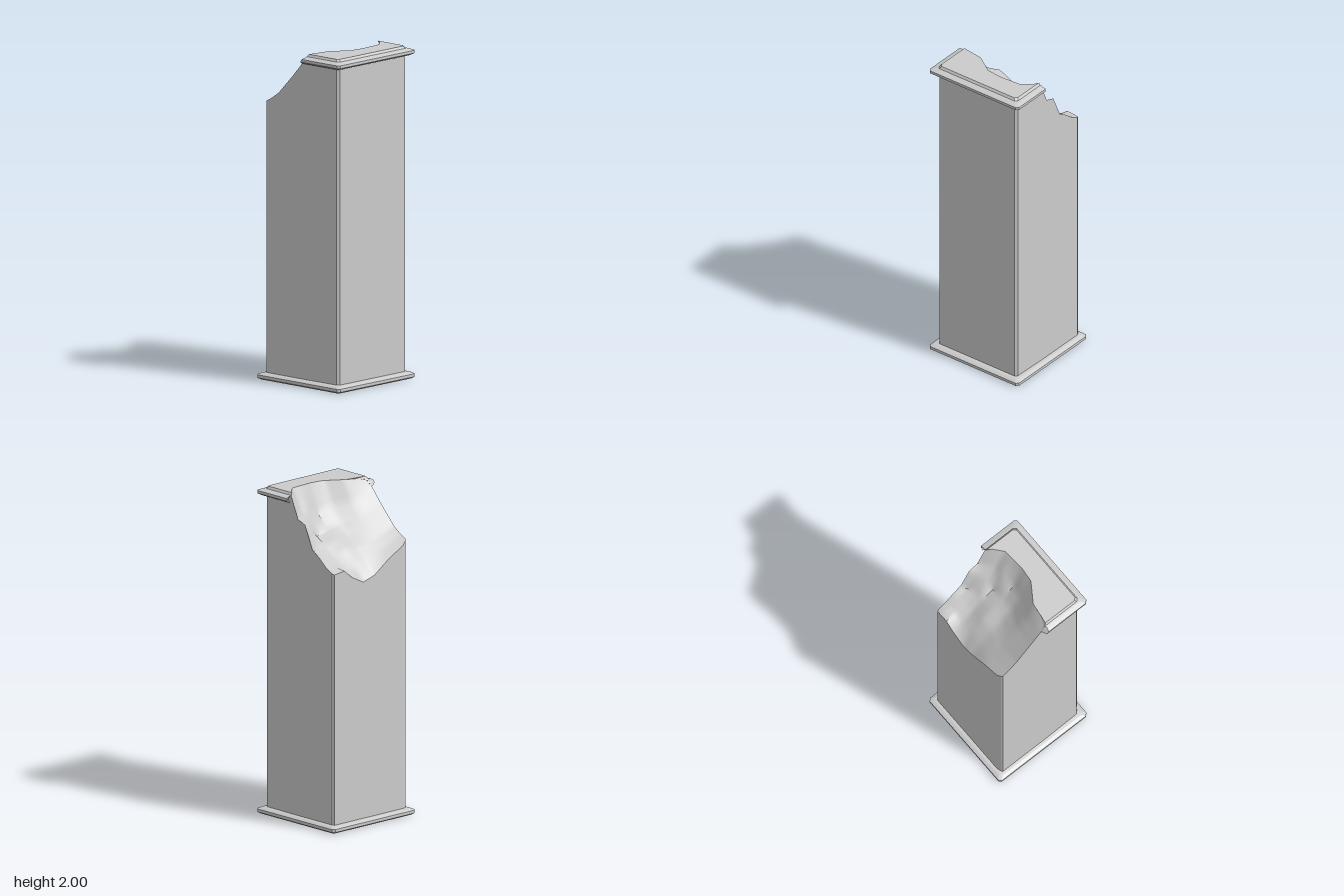
import * as THREE from 'three';
import { toCreasedNormals } from 'three/addons/utils/BufferGeometryUtils.js';

const material = new THREE.MeshStandardMaterial({ color: 0xcccccc, side: THREE.DoubleSide });

// Fracture rows: z, x where the fracture meets the top, heights from the left side to that x
const ROWS = [
  [0.3, 0.05, [1.67, 1.70, 1.74, 1.80, 1.86, 1.925, 1.985]],
  [0.15, 0.07, [1.59, 1.63, 1.68, 1.74, 1.80, 1.88, 2]],
  [0.03, 0.15, [1.51, 1.59, 1.66, 1.71, 1.77, 1.86, 2]],
  [-0.06, 0.16, [1.485, 1.58, 1.66, 1.71, 1.75, 1.82, 2]],
  [-0.15, 0.155, [1.53, 1.57, 1.62, 1.68, 1.72, 1.88, 2]],
  [-0.21, 0.15, [1.58, 1.59, 1.63, 1.68, 1.79, 1.87, 2]],
  [-0.27, 0.1, [1.575, 1.6, 1.64, 1.67, 1.8, 1.86, 2]],
  [-0.3, 0.07, [1.57, 1.60, 1.65, 1.69, 1.83, 1.85, 1.985]],
];
const SUB = 4;
const HALF = 0.298;
const lerp = THREE.MathUtils.lerp;

function makeMesh(name, positions, index, crease) {
  const g = new THREE.BufferGeometry();
  g.setAttribute('position', new THREE.Float32BufferAttribute(positions.flat(), 3));
  g.setIndex(index);
  const mesh = new THREE.Mesh(toCreasedNormals(g, crease), material);
  mesh.name = name;
  return mesh;
}

// Joins closed rings, listed from bottom to top, optionally closing both ends
function loft(name, rings, closed) {
  const n = rings[0].length, index = [];
  for (let k = 0; k < rings.length - 1; k++) {
    for (let i = 0; i < n; i++) {
      const j = (i + 1) % n, a = k * n, b = a + n;
      index.push(a + i, a + j, b + j, a + i, b + j, b + i);
    }
  }
  if (closed) {
    const last = (rings.length - 1) * n;
    const face = (ring) => THREE.ShapeUtils.triangulateShape(ring.map((p) => new THREE.Vector2(p[0], -p[2])), []);
    face(rings[0]).forEach(([a, b, c]) => index.push(a, c, b));
    face(rings.at(-1)).forEach(([a, b, c]) => index.push(last + a, last + b, last + c));
  }
  return makeMesh(name, rings.flat(), index, 0.2);
}

// Right half of a square outline with cut corners, front to back
const rightSide = (r, y, c) => [[r - c, y, r], [r, y, r - c], [r, y, c - r], [r - c, y, -r]];

// Grid of points over the fracture
function fractureGrid() {
  const grid = [];
  const steps = (ROWS.length - 1) * SUB;
  for (let s = 0; s <= steps; s++) {
    const i = Math.min(Math.floor(s / SUB), ROWS.length - 2), t = s / SUB - i;
    const [z0, x0, h0] = ROWS[i], [z1, x1, h1] = ROWS[i + 1];
    const z = lerp(z0, z1, t), edge = lerp(x0, x1, t), cols = (h0.length - 1) * SUB;
    const row = [];
    for (let c = 0; c <= cols; c++) {
      const k = Math.min(Math.floor(c / SUB), h0.length - 2), u = c / SUB - k;
      const y = lerp(lerp(h0[k], h0[k + 1], u), lerp(h1[k], h1[k + 1], u), t);
      row.push([lerp(-HALF, edge, c / cols), y, THREE.MathUtils.clamp(z, -HALF, HALF)]);
    }
    grid.push(row);
  }
  // Cut the two upright corners on the broken side
  for (const row of [grid[0], grid.at(-1)]) {
    row[0][0] += 0.009;
    row[0][2] -= 0.009 * Math.sign(row[0][2]);
  }
  return grid;
}

export function createModel() {
  const model = new THREE.Group();
  const grid = fractureGrid();

  // Base slab with bevelled edges
  const slab = [[0.32, 0], [0.335, 0.01], [0.335, 0.028], [0.315, 0.038], [0.297, 0.042]];
  model.add(loft('base', slab.map(([r, y]) => {
    const right = rightSide(r, y, 0.015);
    return [...right, ...right.map(([x, , z]) => [-x, y, -z])];
  }), true));

  // Shaft walls, whose upper edge follows the fracture
  const rim = [
    ...grid[0],
    ...rightSide(0.294, 1.96, 0.013),
    ...[...grid.at(-1)].reverse(),
    ...grid.slice(1, -1).reverse().map((row) => row[0]),
  ];
  model.add(loft('shaft', [rim.map(([x, , z]) => [x, 0.03, z]), rim], false));

  // Hollow broken surface
  const w = grid[0].length, index = [];
  for (let r = 0; r < grid.length - 1; r++) {
    for (let c = 0; c < w - 1; c++) {
      const a = r * w + c, b = a + w;
      index.push(a, a + 1, b + 1, a, b + 1, b);
    }
  }
  model.add(makeMesh('brokenFace', grid.flat(), index, 0.6));

  // Remaining part of the cap: moulded on three sides, ragged on the fourth
  const ragged = [
    [0.335, 0.055, 0.015],
    ...ROWS.map(([z, x], i) => [z, x, i === 0 ? 0.01 : x + 0.03]),
    [-0.335, 0.07, 0.065],
  ].reverse();
  const moulding = [[0.315, 1.945], [0.335, 1.957], [0.335, 1.974], [0.307, 1.984], [0.297, 1.986], [0.287, 2]];
  model.add(loft('cap', moulding.map(([r, y]) => {
    const t = (y - 1.945) / 0.055;
    const edge = ragged.map(([z, top, low]) => [lerp(low, top, t), y, THREE.MathUtils.clamp(z, -r, r)]);
    return [...rightSide(r, y, 0.015), ...edge];
  }), true));

  return model;
}
